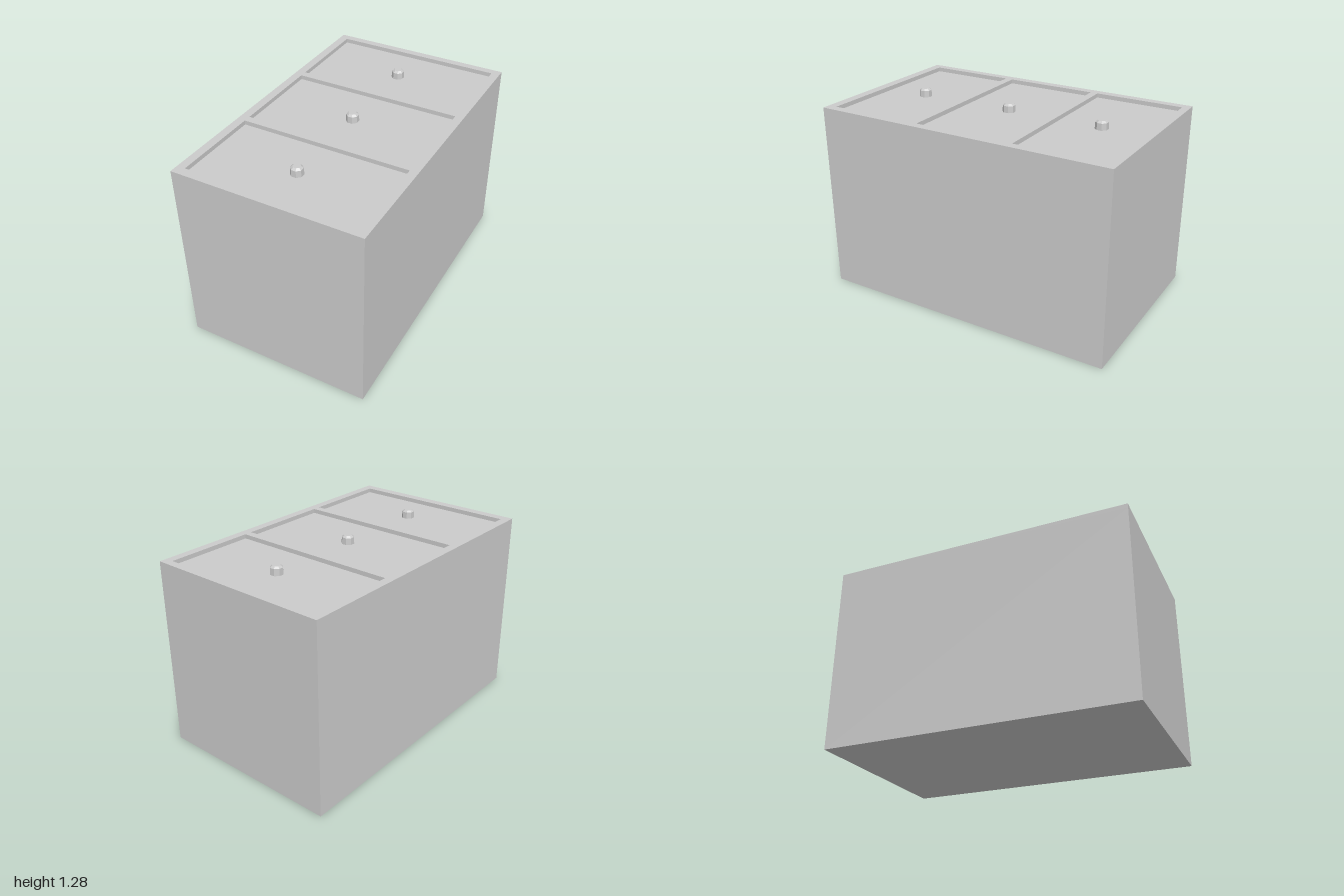
import * as THREE from 'three';

const W = 1.23, H = 1.25, D = 2, RECESS = 0.028;
const FLOOR = H - RECESS;
const HALF = 0.56; // half width of a drawer opening

// z range of each drawer opening and its knob position
const drawers = [
  { back: -0.95, front: -0.36, knob: -0.65 },
  { back: -0.31, front: 0.305, knob: -0.005 },
  { back: 0.355, front: 0.94, knob: 0.65 },
];

function rectangle(target, x0, y0, x1, y1) {
  target.moveTo(x0, y0).lineTo(x1, y0).lineTo(x1, y1).lineTo(x0, y1).closePath();
  return target;
}

export function createModel() {
  const group = new THREE.Group();
  group.name = 'drawerCabinet';
  const material = new THREE.MeshStandardMaterial({ color: 0xcccccc, flatShading: true });

  const add = (name, geometry, x, y, z) => {
    const mesh = new THREE.Mesh(geometry, material);
    mesh.name = name;
    mesh.position.set(x, y, z);
    group.add(mesh);
    return mesh;
  };

  // Solid body lying on its back; its top forms the drawer fronts
  add('cabinetBody', new THREE.BoxGeometry(W, FLOOR, D), 0, FLOOR / 2, 0);

  // Raised frame around the three recessed drawer fronts
  const frame = rectangle(new THREE.Shape(), -W / 2, -D / 2, W / 2, D / 2);
  for (const d of drawers) {
    frame.holes.push(rectangle(new THREE.Path(), -HALF, -d.front, HALF, -d.back));
  }
  const frameGeometry = new THREE.ExtrudeGeometry(frame, { depth: RECESS, bevelEnabled: false });
  frameGeometry.rotateX(-Math.PI / 2);
  add('drawerFrame', frameGeometry, 0, FLOOR, 0);

  // Eight-sided knobs with a chamfered top
  const profile = [[0.042, 0], [0.04, 0.043], [0.026, 0.055], [0, 0.055]]
    .map(([r, y]) => new THREE.Vector2(r, y));
  const knobGeometry = new THREE.LatheGeometry(profile, 8, Math.PI / 8);
  drawers.forEach((d, i) => add(`drawerKnob${i + 1}`, knobGeometry, 0, FLOOR, d.knob));

  return group;
}
